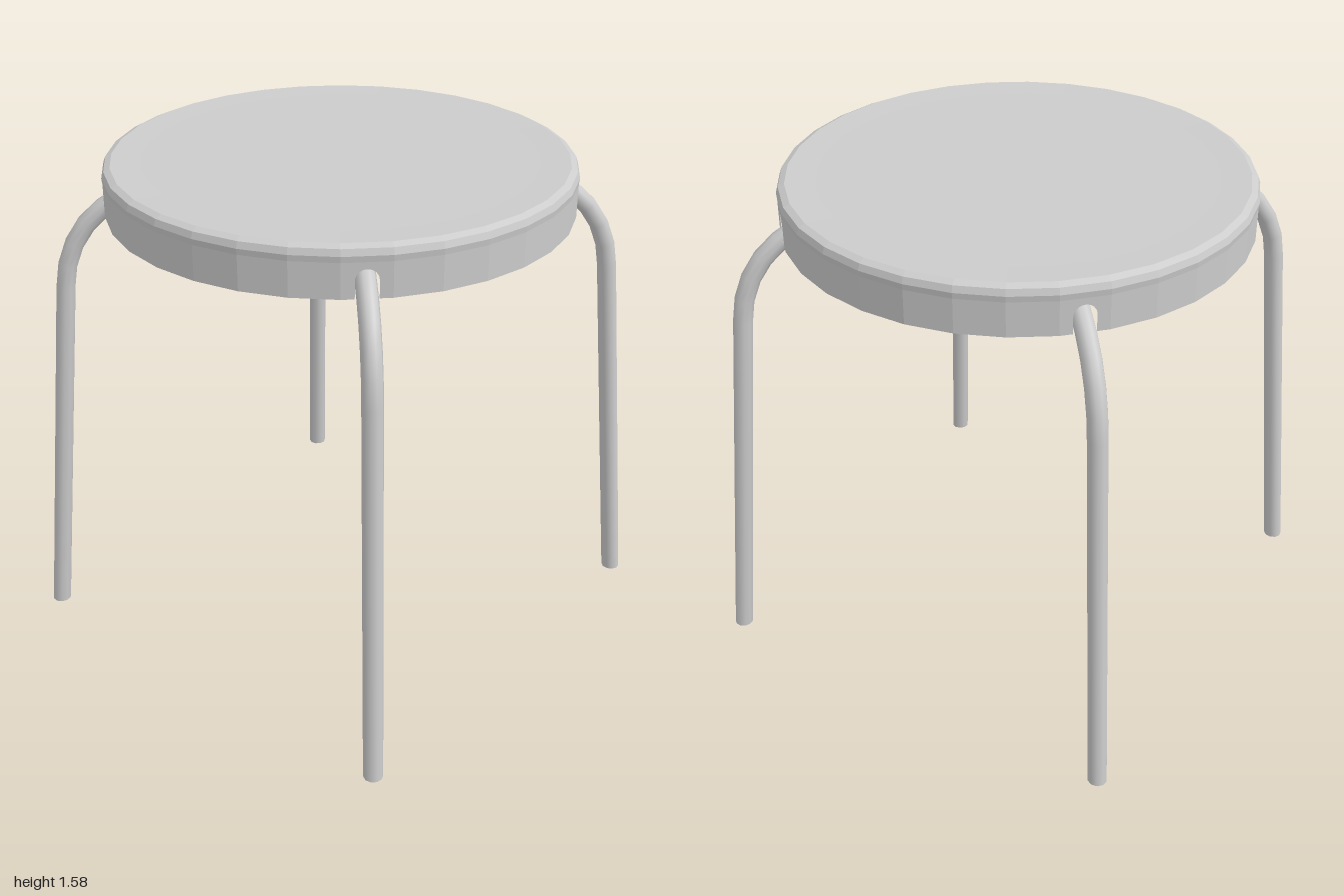
import * as THREE from 'three';

const SIDES = 32;
const RADIUS = 0.714;
const RIM_BOTTOM = 1.425;
const RIM_TOP = 1.53;

const material = (options = {}) => new THREE.MeshStandardMaterial({ color: 0xcccccc, ...options });

function addMesh(parent, name, geometry, mat) {
  const mesh = new THREE.Mesh(geometry, mat);
  mesh.name = name;
  parent.add(mesh);
  return mesh;
}

// One flat facet of the seat rim, with an arched slot where a leg passes through
function rimPanel(slotted) {
  const w = RADIUS * Math.sin(Math.PI / SIDES);
  const slot = 0.033;
  const s = new THREE.Shape();
  s.moveTo(-w, RIM_BOTTOM);
  if (slotted) {
    s.lineTo(-slot, RIM_BOTTOM);
    s.lineTo(-slot, 1.477);
    s.absarc(0, 1.477, slot, Math.PI, 0, true);
    s.lineTo(slot, RIM_BOTTOM);
  }
  s.lineTo(w, RIM_BOTTOM);
  s.lineTo(w, RIM_TOP);
  s.lineTo(-w, RIM_TOP);
  s.closePath();
  return new THREE.ShapeGeometry(s, 6).translate(0, 0, RADIUS * Math.cos(Math.PI / SIDES));
}

// Thin pressed seat: open underneath, rounded upper edge
function createSeat() {
  const seat = new THREE.Group();
  seat.name = 'seat';
  const shell = material({ flatShading: true, side: THREE.DoubleSide });

  const profile = [
    [RADIUS, RIM_TOP], [0.716, 1.548], [0.709, 1.567], [0.69, 1.576], [0.6, 1.573], [0, 1.573],
  ].map(([x, y]) => new THREE.Vector2(x, y));
  addMesh(seat, 'seatTop', new THREE.LatheGeometry(profile, SIDES, Math.PI / SIDES), shell);

  const plain = rimPanel(false);
  const slotted = rimPanel(true);
  for (let i = 0; i < SIDES; i++) {
    const atLeg = i % (SIDES / 4) === 0;
    const panel = addMesh(seat, atLeg ? 'slottedRimPanel' : 'rimPanel', atLeg ? slotted : plain, shell);
    panel.rotation.y = (i * 2 * Math.PI) / SIDES;
  }
  return seat;
}

// Bent tube from the floor up, over the bend and in to the centre of the seat
function legGeometry() {
  const v = (x, y) => new THREE.Vector3(x, y, 0);
  const path = new THREE.CurvePath();
  path.add(new THREE.LineCurve3(v(0.97, 0), v(0.85, 1.2)));
  path.add(new THREE.CubicBezierCurve3(v(0.85, 1.2), v(0.83, 1.35), v(0.73, 1.48), v(0.5, 1.515)));
  path.add(new THREE.LineCurve3(v(0.5, 1.515), v(0, 1.52)));
  const tube = new THREE.TubeGeometry(path, 30, 0.03, 10);
  // Cut the foot level with the floor
  const p = tube.attributes.position;
  for (let i = 0; i < p.count; i++) if (p.getY(i) < 0.02) p.setY(i, 0);
  return tube;
}

export function createModel() {
  const stool = new THREE.Group();
  stool.name = 'stool';
  stool.add(createSeat());

  const tube = legGeometry();
  const cap = new THREE.CircleGeometry(0.03, 10).rotateX(Math.PI / 2).translate(0.97, 0, 0);
  const steel = material();
  for (let i = 0; i < 4; i++) {
    const leg = new THREE.Group();
    leg.name = 'leg';
    addMesh(leg, 'legTube', tube, steel);
    addMesh(leg, 'footCap', cap, steel);
    leg.rotation.y = (i * Math.PI) / 2;
    stool.add(leg);
  }
  return stool;
}
